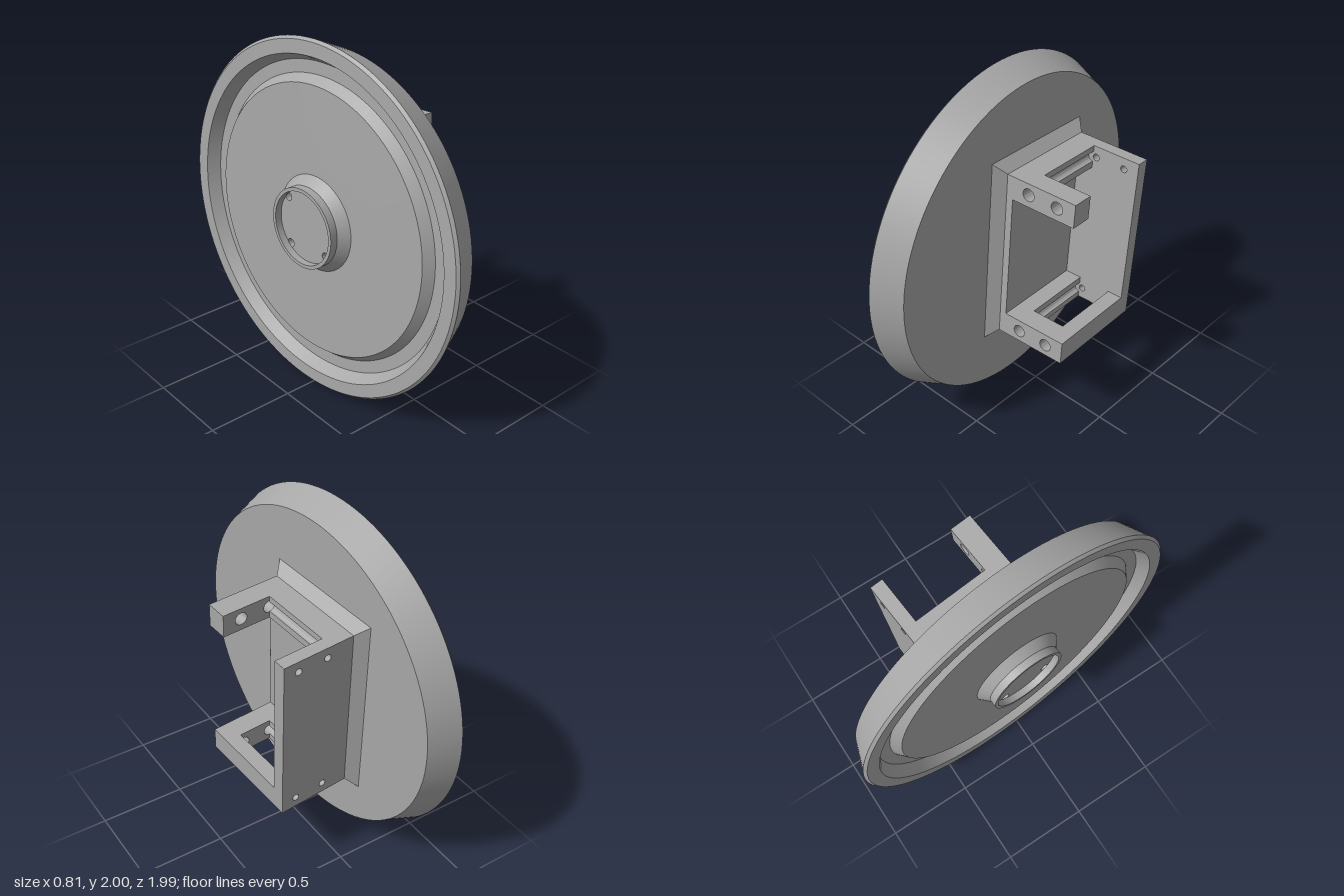
import * as THREE from 'three';
import { toCreasedNormals } from 'three/addons/utils/BufferGeometryUtils.js';

const steel = new THREE.MeshStandardMaterial({ color: 0xa8a8a8 });
steel.name = 'plain grey steel';

// Local frame: x runs along the wheel axle, y along the bracket, z across it.
const X0 = 0.17, X1 = 0.27, X2 = 0.66;      // disc face, base plate face, arm tips
const Z0 = -0.40, ZW = -0.325, ZB = 0.11, Z1 = 0.235; // wall, wall inside, bar inside, bar outside
const H = 0.505, H0 = 0.37;                 // outer and inner height of the arms
const ROD_Y = 0.44, RODS = [0.37, 0.55];

function part(name, geometry) {
  const mesh = new THREE.Mesh(geometry, steel);
  mesh.name = name;
  return mesh;
}

function rect(a, b, c, d) {
  return new THREE.Shape([
    new THREE.Vector2(a, b), new THREE.Vector2(c, b),
    new THREE.Vector2(c, d), new THREE.Vector2(a, d)]);
}

function hole(shape, x, y, r) {
  shape.holes.push(new THREE.Path().absarc(x, y, r, 0, Math.PI * 2, true));
}

// Profile in (x, y) pushed along z
function alongZ(shape, z0, z1) {
  const g = new THREE.ExtrudeGeometry(shape, { depth: z1 - z0, bevelEnabled: false, curveSegments: 20 });
  g.translate(0, 0, z0);
  return toCreasedNormals(g, 0.5);
}

// Profile in (-z, y) pushed along x
function alongX(shape, x0, x1) {
  const g = new THREE.ExtrudeGeometry(shape, { depth: x1 - x0, bevelEnabled: false, curveSegments: 40 });
  g.rotateY(Math.PI / 2);
  g.translate(x0, 0, 0);
  return toCreasedNormals(g, 0.5);
}

// Disc with chamfered rim, groove in the back, flared hub and front bore
function discGeometry() {
  const profile = [
    [0.218, -0.06], [0.205, -0.06], [0.205, -0.1], [0.225, -0.1], [0.225, -0.055],
    [0.27, 0], [0.76, 0], [0.80, 0.05], [0.87, 0.05], [0.91, -0.015],
    [0.985, -0.015], [1, 0], [0.93, X0], [0.24, X0], [0.24, 0.02], [0.216, 0.02],
  ].map(([r, x]) => new THREE.Vector2(r, x));
  const g = new THREE.LatheGeometry(profile, 128);
  g.rotateZ(-Math.PI / 2);
  return toCreasedNormals(g, 0.3);
}

// Sloping weld bead around the foot of the base plate
function weldGeometry() {
  const corners = (x, g) => [
    [x, -H - g, Z1 + g], [x, -H - g, Z0 - g], [x, H + g, Z0 - g], [x, H + g, Z1 + g]];
  const a = corners(X0, 0.055), b = corners(X0 + 0.06, 0);
  const pos = [];
  for (let i = 0; i < 4; i++) {
    const j = (i + 1) % 4;
    pos.push(...a[i], ...a[j], ...b[j], ...a[i], ...b[j], ...b[i]);
  }
  const g = new THREE.BufferGeometry();
  g.setAttribute('position', new THREE.Float32BufferAttribute(pos, 3));
  g.computeVertexNormals();
  return g;
}

function createArm(side) {
  const arm = new THREE.Group();
  arm.name = side > 0 ? 'topArm' : 'bottomArm';
  const lo = side > 0 ? H0 : -H, hi = side > 0 ? H : -H0, y = side * ROD_Y;

  // End bar bored for two rods
  const bar = rect(X1, lo, X2, hi);
  RODS.forEach((x) => hole(bar, x, y, 0.036));
  arm.add(part('endBar', alongZ(bar, ZB, Z1)));

  // Strip along the base plate with a half-round rod groove
  const strip = new THREE.Shape();
  strip.moveTo(X1, lo);
  strip.lineTo(RODS[0], lo);
  strip.lineTo(RODS[0], y - 0.03);
  strip.absarc(RODS[0], y, 0.03, -Math.PI / 2, Math.PI / 2, true);
  strip.lineTo(RODS[0], hi);
  strip.lineTo(X1, hi);
  arm.add(part('groovedStrip', alongZ(strip, ZW, ZB)));

  // Only the bottom arm is closed at its tip
  if (side < 0) arm.add(part('frontBar', alongZ(rect(0.57, lo, X2, hi), ZW, ZB)));
  return arm;
}

export function createModel() {
  const model = new THREE.Group();
  model.name = 'wheelWithBracket';

  // Wheel
  model.add(part('disc', discGeometry()));
  const floor = new THREE.Shape().absarc(0, 0, 0.218, 0, Math.PI * 2, false);
  for (const sx of [-1, 1]) for (const sy of [-1, 1]) hole(floor, sx * 0.135, sy * 0.135, 0.024);
  model.add(part('hubFloor', alongX(floor, -0.06, 0.02)));

  // Bracket
  const bracket = new THREE.Group();
  bracket.name = 'bracket';
  const base = rect(-Z1, -H, -Z0, H);
  hole(base, 0, 0, 0.24);
  bracket.add(part('basePlate', alongX(base, X0, X1)));
  bracket.add(part('weldBead', weldGeometry()));
  const wall = rect(X1, -H, X2, H);
  for (const s of [-1, 1]) RODS.forEach((x) => hole(wall, x + 0.02, s * ROD_Y, 0.02));
  bracket.add(part('sideWall', alongZ(wall, Z0, ZW)));
  bracket.add(createArm(1), createArm(-1));
  model.add(bracket);

  // Slight lean of the whole assembly
  const axle = new THREE.Vector3(1, -0.03, -0.072).normalize();
  const across = new THREE.Vector3().crossVectors(axle, new THREE.Vector3(0.025, 0.998, -0.065)).normalize();
  const up = new THREE.Vector3().crossVectors(across, axle);
  model.quaternion.setFromRotationMatrix(new THREE.Matrix4().makeBasis(axle, up, across));
  model.position.set(-0.28, 1, 0);

  const root = new THREE.Group();
  root.name = 'model';
  root.add(model);
  return root;
}
